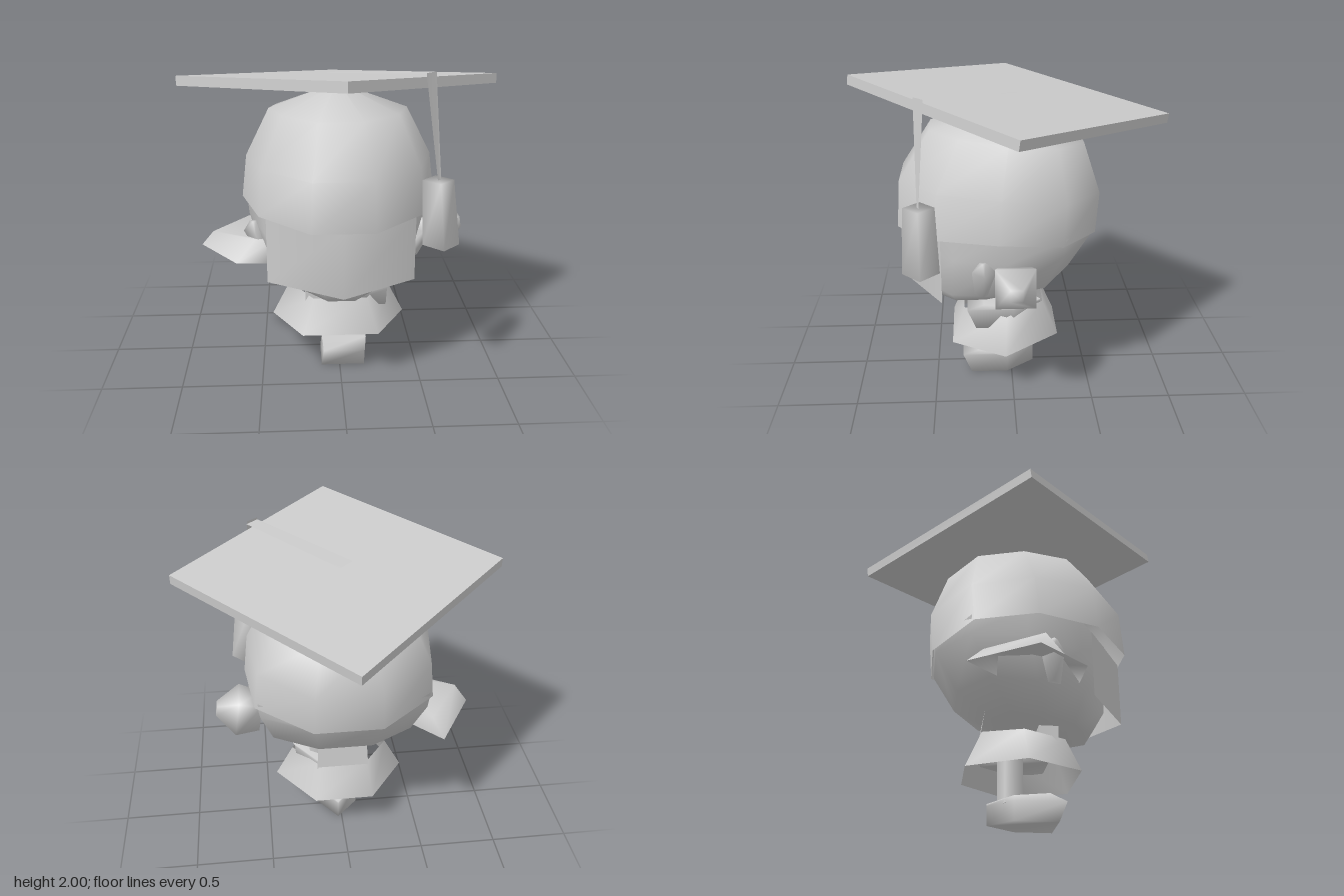
import * as THREE from 'three';

const grey = new THREE.MeshStandardMaterial({ color: 0xcccccc, side: THREE.DoubleSide });

// Skin equal-length rings of [x, y, z], listed bottom to top and counterclockwise from above
function loft(rings, { capBottom = false, capTop = false, closed = true } = {}) {
  const n = rings[0].length, index = [];
  for (let r = 0; r < rings.length - 1; r++) {
    for (let i = 0; i < (closed ? n : n - 1); i++) {
      const j = (i + 1) % n, a = r * n, b = a + n;
      index.push(a + i, a + j, b + j, a + i, b + j, b + i);
    }
  }
  const last = (rings.length - 1) * n;
  for (let i = 1; i < n - 1; i++) {
    if (capBottom) index.push(0, i + 1, i);
    if (capTop) index.push(last, last + i, last + i + 1);
  }
  const g = new THREE.BufferGeometry();
  g.setAttribute('position', new THREE.Float32BufferAttribute(rings.flat(2), 3));
  g.setIndex(index);
  g.computeVertexNormals();
  return g;
}

// Ten-sided oval ring, fuller at the back, with its own front and back depth and height; lift raises the sides
function oval(rx, zf, yf, zb, yb, lift = 0) {
  const ring = [], c18 = Math.cos(Math.PI / 10);
  for (let i = 0; i < 10; i++) {
    const t = (i + 0.5) * Math.PI / 5, s = Math.sin(t), c = Math.cos(t) / c18;
    const x = rx * s * (c < -0.1 ? 1.13 : 1);
    ring.push([x, (yf + yb) / 2 + c * (yf - yb) / 2 + lift * s * s, (zf + zb) / 2 + c * (zf - zb) / 2]);
  }
  return ring;
}

// Four-cornered ring with corners on the axes
const diamond = (x, y, z, r) => [[x, y, z + r], [x + r, y, z], [x, y, z - r], [x - r, y, z]];

export function createModel() {
  const model = new THREE.Group();
  const add = (name, geometry, parent = model) => {
    const m = new THREE.Mesh(geometry, grey);
    m.name = name;
    parent.add(m);
    return m;
  };

  // Head: lower face and the slightly larger skull cap above it
  add('face', loft([
    oval(0.01, 0.21, 0.51, 0.19, 0.53),
    oval(0.27, 0.48, 0.56, -0.14, 0.65),
    oval(0.49, 0.56, 0.69, -0.36, 0.79),
    oval(0.57, 0.57, 0.95, -0.5, 1.03),
    oval(0.585, 0.58, 1.13, -0.51, 1.07, 0.07),
  ]));
  add('skullCap', loft([
    oval(0.605, 0.71, 1.08, -0.52, 1.03, 0.07),
    oval(0.575, 0.69, 1.38, -0.54, 1.29, 0.05),
    oval(0.43, 0.5, 1.68, -0.44, 1.6, 0.03),
    oval(0.01, 0.0, 1.82, -0.02, 1.81),
  ]));

  // Folded panel across the front of the face
  const fold = y => [[-0.45, y, 0.44], [0, y, 0.71], [0.45, y, 0.44]];
  add('facePanel', loft([fold(0.68), fold(1.1)], { closed: false }));

  // Small ears close to the head
  for (const side of [-1, 1]) {
    add(side > 0 ? 'leftEar' : 'rightEar', loft([
      diamond(side * 0.45, 0.74, 0.19, 0.05),
      diamond(side * 0.525, 0.92, 0.18, 0.075),
      diamond(side * 0.54, 0.99, 0.19, 0.02),
    ], { capBottom: true, capTop: true }));
  }

  // Tilted square board of the hat, a corner pointing forward
  const board = add('hatBoard', new THREE.BoxGeometry(1.4, 0.06, 1.4).rotateY(Math.PI / 4));
  board.position.y = 1.838;
  board.rotation.x = -0.132;

  // Strap on the board, cord and tassel
  add('tasselStrap', loft([
    [[-0.085, 1.882, 0.03], [0.46, 1.96, 0.54]],
    [[0, 1.878, -0.05], [0.53, 1.96, 0.47]],
  ], { closed: false }));
  add('tasselCord', loft([
    [[0.55, 1.33, 0.56], [0.57, 1.33, 0.55]],
    [[0.46, 1.965, 0.56], [0.525, 1.965, 0.5]],
  ], { closed: false }));
  add('tassel', loft([diamond(0.583, 0.95, 0.55, 0.11), diamond(0.552, 1.35, 0.55, 0.092)],
    { capBottom: true, capTop: true }));

  // Raised left hand: a chunky four-sided fist, widest at the knuckles
  const profile = [[0, -0.15], [0.13, -0.15], [0.17, 0], [0.05, 0.135], [0, 0.135]];
  const fist = new THREE.LatheGeometry(profile.map(p => new THREE.Vector2(...p)), 4, Math.PI / 4);
  const hand = add('leftHand', fist);
  hand.position.set(0.67, 0.88, 0);
  hand.rotation.z = -Math.PI / 2 + 0.15;

  // Flared right sleeve, open below
  add('rightSleeve', loft([
    [[-0.42, 0.77, 0.36], [-0.42, 0.77, -0.1], [-0.64, 0.77, -0.33], [-0.88, 0.785, 0.06], [-0.64, 0.775, 0.365]],
    [[-0.42, 0.88, 0.26], [-0.42, 0.88, -0.05], [-0.58, 0.88, -0.23], [-0.8, 0.89, 0.1], [-0.53, 0.89, 0.26]],
  ], { capTop: true }));

  // Six-sided flared robe, narrower behind, its back panel rising to the head, and a collar flap
  const hex = (wf, wb, x, zf, zm, zb, yf, yb) => [
    [-wf, yf, zf], [wf, yf, zf], [x, yf, zm], [wb, yb, zb], [-wb, yb, zb], [-x, yf, zm]];
  add('robe', loft([
    hex(0.24, 0.19, 0.435, 0.39, 0.05, -0.3, 0.28, 0.3),
    hex(0.17, 0.16, 0.32, 0.31, 0.04, -0.2, 0.5, 0.53),
  ]));
  add('robeBack', loft([[[0.17, 0.5, -0.21], [-0.17, 0.5, -0.21]], [[0.16, 0.69, -0.18], [-0.16, 0.69, -0.18]]],
    { closed: false }));
  add('collarFlap', new THREE.BoxGeometry(0.12, 0.13, 0.12)).position.set(-0.16, 0.5, 0.2);

  // Standing leg and bent leg share one shape; the heel comes to a point
  const sole = (x0, x1, zf, yf, yb) => [
    [x0, yf, zf], [x1, yf, zf], [x1, (yf + yb) / 2, 0.03], [0.025, yb, -0.15], [x0, (yf + yb) / 2, 0]];
  const legs = [['right', 0, 0, 0, 0.5], ['left', 0.14, 0.415, -0.035, 0.29]];
  for (const [side, x, y, z, top] of legs) {
    const leg = new THREE.Group();
    leg.name = side + 'Leg';
    leg.position.set(x, y, z);
    model.add(leg);
    add(side + 'Foot', loft([
      sole(-0.12, 0.16, 0.27, 0, 0),
      sole(-0.105, 0.16, 0.325, 0.13, 0.12),
      sole(-0.115, 0.175, 0.22, 0.175, 0.135),
    ], { capBottom: true, capTop: true }), leg);
    const shin = new THREE.CylinderGeometry(0.08, 0.08, top - 0.12, 6);
    shin.translate(0, (top + 0.12) / 2, -0.01);
    add(side + 'Shin', shin, leg);
  }
  return model;
}
